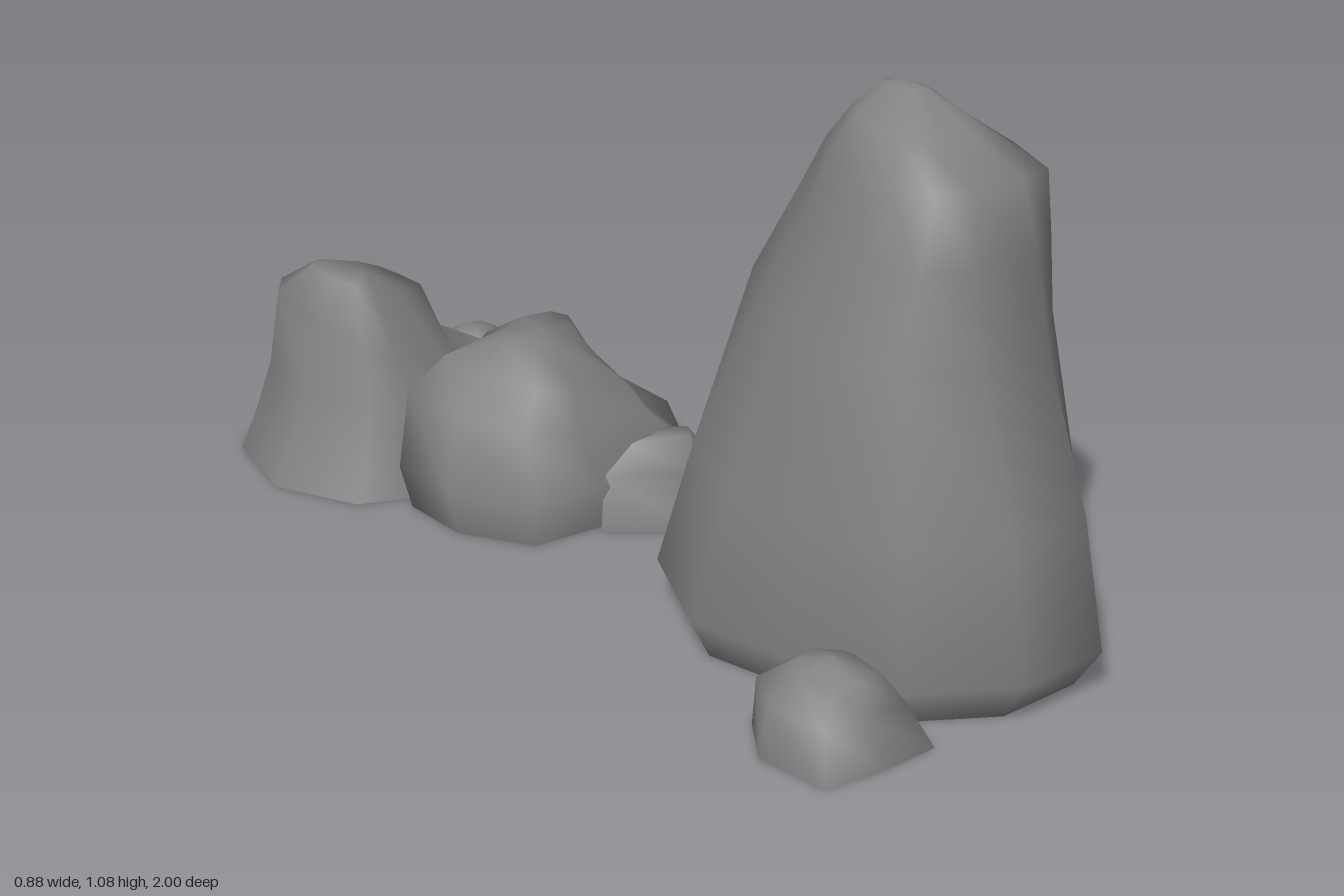
import * as THREE from 'three';

const material = new THREE.MeshStandardMaterial({ color: 0x828282, side: THREE.DoubleSide });

// Rock skin made of sections [outline, levels]. Every outline [x, z] of a rock has the same
// number of points and is fitted to a box at each of its levels; the last ring is capped.
// level = [y, xMin, xMax, zMin, zMax, slopeX, slopeZ]
function rock(name, ...sections) {
  const n = sections[0][0].length, pos = [], index = [];
  let rings = 0, last;

  for (const [outline, levels] of sections) {
    const xs = outline.map(p => p[0]), zs = outline.map(p => p[1]);
    const x0 = Math.min(...xs), z0 = Math.min(...zs);
    const w = Math.max(...xs) - x0, d = Math.max(...zs) - z0;
    for (const [y, xa, xb, za, zb, sx = 0, sz = 0] of levels) {
      const cx = (xa + xb) / 2, cz = (za + zb) / 2;
      for (const [px, pz] of outline) {
        const x = xa + (px - x0) / w * (xb - xa), z = za + (pz - z0) / d * (zb - za);
        pos.push(x, y + sx * (x - cx) + sz * (z - cz), z);
      }
      last = [cx, y + 0.008, cz];
      rings++;
    }
  }

  // Side walls, then the cap
  for (let i = 1; i < rings; i++) {
    for (let j = 0; j < n; j++) {
      const k = (j + 1) % n, lo = (i - 1) * n, hi = i * n;
      index.push(lo + j, hi + j, hi + k, lo + j, hi + k, lo + k);
    }
  }
  pos.push(...last);
  for (let j = 0, top = (rings - 1) * n; j < n; j++) index.push(top + j, rings * n, top + (j + 1) % n);

  const geometry = new THREE.BufferGeometry();
  geometry.setAttribute('position', new THREE.Float32BufferAttribute(pos, 3));
  geometry.setIndex(index);
  geometry.computeVertexNormals();
  const mesh = new THREE.Mesh(geometry, material);
  mesh.name = name;
  return mesh;
}

export function createModel() {
  const group = new THREE.Group();
  group.name = 'rockCluster';

  group.add(
    // Tall standing boulder: round foot, square shoulder at the back, chamfered crown
    rock('tallBoulder',
      [[[0.02, 0.09], [0.18, 0.09], [0.33, 0.16], [0.43, 0.32], [0.43, 0.62], [0.37, 0.82],
        [0.22, 1], [0.02, 1], [-0.16, 0.88], [-0.22, 0.67], [-0.27, 0.43], [-0.16, 0.2]],
      [[0, -0.22, 0.41, 0.13, 0.94], [0.09, -0.27, 0.44, 0.1, 1]]],
      [[[0.01, 0.17], [0.17, 0.165], [0.34, 0.19], [0.39, 0.31], [0.395, 0.6], [0.345, 0.8],
        [0.21, 0.96], [0.03, 0.96], [-0.13, 0.85], [-0.19, 0.68], [-0.215, 0.47], [-0.11, 0.26]],
      [[0.35, -0.215, 0.395, 0.165, 0.96]]],
      [[[0.03, 0.26], [0.16, 0.235], [0.325, 0.24], [0.353, 0.31], [0.352, 0.58], [0.31, 0.76],
        [0.2, 0.855], [0.03, 0.86], [-0.09, 0.79], [-0.148, 0.68], [-0.125, 0.51], [-0.04, 0.36]],
      [[0.66, -0.148, 0.353, 0.235, 0.86]]],
      [[[0.05, 0.35], [0.165, 0.325], [0.285, 0.355], [0.33, 0.43], [0.325, 0.62], [0.28, 0.775],
        [0.19, 0.83], [0.045, 0.83], [-0.045, 0.775], [-0.065, 0.685], [-0.05, 0.56], [-0.01, 0.44]],
      [[0.83, -0.065, 0.33, 0.325, 0.83]]],
      [[[0.06, 0.42], [0.17, 0.41], [0.25, 0.47], [0.305, 0.55], [0.295, 0.66], [0.25, 0.79],
        [0.18, 0.8], [0.06, 0.8], [0, 0.76], [-0.03, 0.69], [-0.035, 0.6], [0, 0.49]],
      [[0.96, -0.035, 0.305, 0.41, 0.8],
        [1.025, 0.035, 0.22, 0.45, 0.69],
        [1.07, 0.125, 0.165, 0.48, 0.58, 0, 0.1]]]),

    // Rear boulder: steep ridge on its right, low shoulder on its left
    rock('rearBoulder',
      [[[-0.22, -1], [0.09, -1], [0.2, -0.93], [0.24, -0.8], [0.26, -0.61], [0.1, -0.5],
        [-0.05, -0.47], [-0.25, -0.44], [-0.36, -0.49], [-0.44, -0.66], [-0.39, -0.86]],
      [[0, -0.44, 0.26, -1, -0.44],
        [0.07, -0.405, 0.25, -0.985, -0.455],
        [0.145, -0.36, 0.2, -0.965, -0.48, -0.15],
        [0.255, -0.32, 0.01, -0.945, -0.52, -0.5, -0.1],
        [0.385, -0.29, -0.07, -0.8, -0.59, -0.33]]]),

    // Middle boulder with a diagonal ridge
    rock('middleBoulder',
      [[[-0.3, -0.43], [-0.15, -0.44], [0.03, -0.54], [0.25, -0.47], [0.31, -0.32],
        [0.24, -0.19], [0.2, -0.08], [-0.05, -0.08], [-0.21, -0.1], [-0.3, -0.26]],
      [[0, -0.28, 0.28, -0.51, -0.1],
        [0.09, -0.3, 0.31, -0.53, -0.085],
        [0.2, -0.26, 0.21, -0.54, -0.14, -0.15],
        [0.275, -0.18, 0.13, -0.51, -0.17, -0.15]]],
      [[[-0.16, -0.33], [-0.09, -0.39], [0.02, -0.45], [0.11, -0.45], [0.12, -0.4],
        [0.07, -0.33], [0, -0.27], [-0.07, -0.23], [-0.13, -0.22], [-0.16, -0.27]],
      [[0.336, -0.13, 0.11, -0.44, -0.23, -0.12, 0.1]]]),

    // Small stones leaning on the boulders
    rock('middleStone',
      [[[-0.06, -0.08], [0.02, -0.1], [0.09, -0.17], [0.17, -0.16], [0.21, -0.05], [0.11, 0.05]],
      [[0, -0.06, 0.21, -0.17, 0.05],
        [0.11, -0.04, 0.2, -0.17, 0.01],
        [0.165, 0.03, 0.16, -0.15, -0.015, 0, 0.3]]]),
    rock('frontStone',
      [[[-0.39, 0.77], [-0.32, 0.67], [-0.2, 0.66], [-0.1, 0.75], [-0.13, 0.94], [-0.25, 0.94], [-0.37, 0.92]],
      [[0, -0.395, -0.1, 0.66, 0.94],
        [0.1, -0.375, -0.16, 0.67, 0.92],
        [0.14, -0.31, -0.18, 0.72, 0.87],
        [0.157, -0.27, -0.23, 0.77, 0.82]]]),
    rock('rearStone',
      [[[0.16, -0.92], [0.23, -0.99], [0.31, -0.97], [0.33, -0.89], [0.27, -0.81], [0.2, -0.83]],
      [[0, 0.16, 0.33, -0.99, -0.81],
        [0.045, 0.165, 0.325, -0.98, -0.815],
        [0.077, 0.2, 0.29, -0.93, -0.84]]]),
  );
  return group;
}
